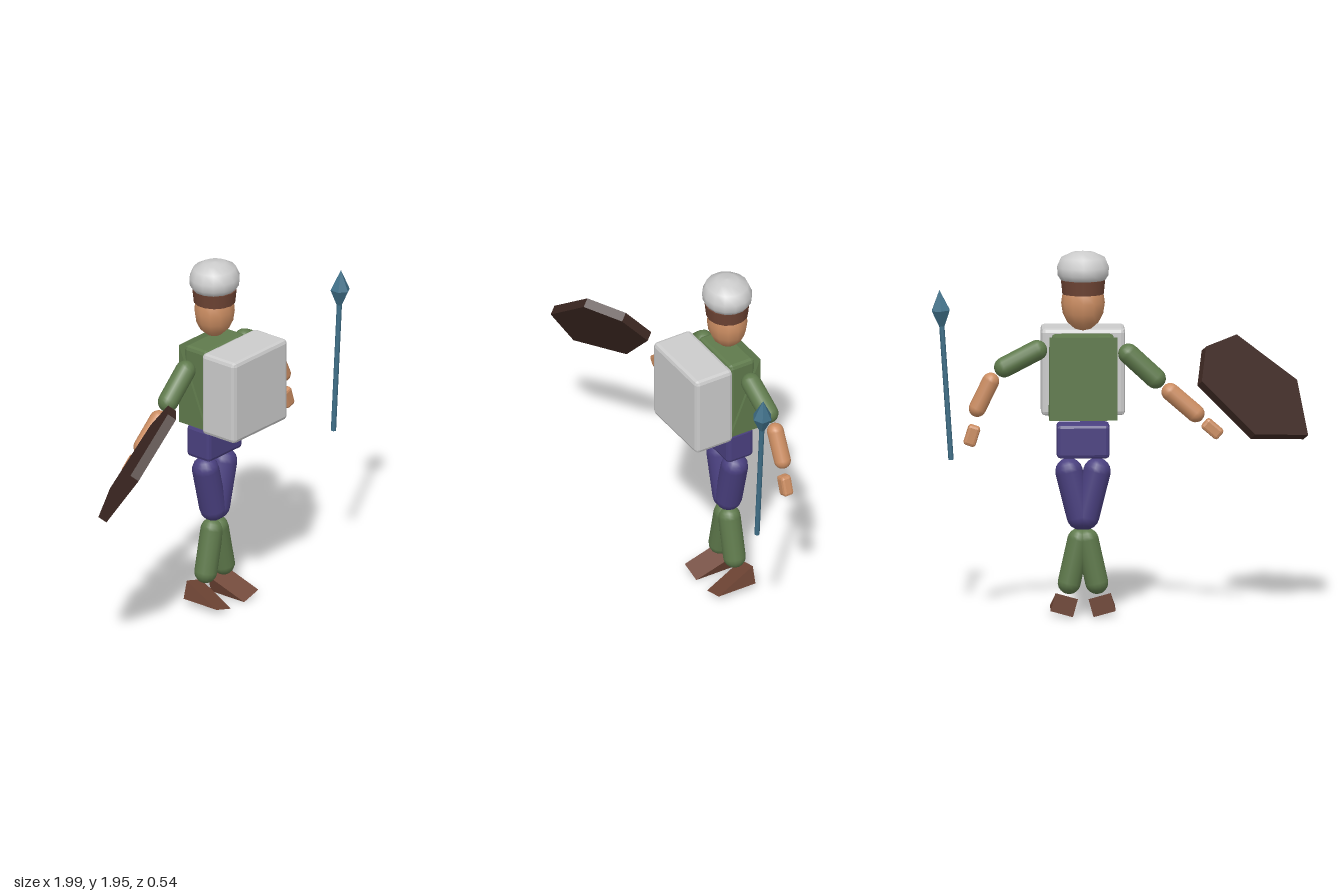
import * as THREE from 'three';
import { RoundedBoxGeometry } from 'three/addons/geometries/RoundedBoxGeometry.js';
import { ConvexGeometry } from 'three/addons/geometries/ConvexGeometry.js';

const CX = 0.196, CZ = -0.15; // body axis
const mat = (color, flatShading = false) => new THREE.MeshStandardMaterial({ color, flatShading });
const GREEN = 0x5f7a4c, PURPLE = 0x4a4080, SKIN = 0xcb8d62, BROWN = 0x6e4434;
const V = (x, y, z = CZ) => new THREE.Vector3(x, y, z);

export function createModel() {
  const model = new THREE.Group();
  model.name = 'warrior';

  const add = (name, geometry, material, x = 0, y = 0, z = 0) => {
    const mesh = new THREE.Mesh(geometry, material);
    mesh.name = name;
    mesh.position.set(x, y, z);
    model.add(mesh);
    return mesh;
  };
  // Box with chamfered edges
  const block = (name, color, w, h, d, bevel, x, y, z = CZ) =>
    add(name, new RoundedBoxGeometry(w, h, d, 1, bevel), mat(color, true), x, y, z);
  // Rounded limb between two joint centres
  const limb = (name, color, r, a, b) => {
    const dir = b.clone().sub(a);
    const mesh = add(name, new THREE.CapsuleGeometry(r, dir.length(), 5, 14), mat(color));
    mesh.position.copy(a).lerp(b, 0.5);
    mesh.quaternion.setFromUnitVectors(V(0, 1, 0), dir.normalize());
    return mesh;
  };
  // Triangular prism: tall at the back, tapering to an edge at the front
  const wedge = (name, color, w, h, d, x, y, z) => {
    const side = new THREE.Shape([
      new THREE.Vector2(-d / 2, -h / 2), new THREE.Vector2(d / 2, -h / 2), new THREE.Vector2(-d / 2, h / 2),
    ]);
    const geo = new THREE.ExtrudeGeometry(side, { depth: w, bevelEnabled: false });
    geo.translate(0, 0, -w / 2).rotateY(-Math.PI / 2);
    return add(name, geo, mat(color, true), x, y, z);
  };

  // Torso
  block('breastplate', 0xcccccc, 0.445, 0.465, 0.23, 0.022, CX - 0.003, 1.292, 0.06);
  block('torso', GREEN, 0.33, 0.44, 0.16, 0.022, CX, 1.284, -0.147);
  wedge('backWedge', GREEN, 0.36, 0.445, 0.185, CX, 1.283, -0.153);
  block('pelvis', PURPLE, 0.28, 0.182, 0.16, 0.02, CX, 0.945, -0.15);

  // Head, hair and cap
  add('head', new THREE.SphereGeometry(1, 12, 8), mat(SKIN), CX, 1.68, CZ).scale.set(0.116, 0.15, 0.105);
  add('hair', new THREE.CylinderGeometry(0.12, 0.112, 0.075, 14), mat(BROWN), CX, 1.765, CZ);
  const capProfile = [[0, 1.8], [0.118, 1.8], [0.138, 1.83], [0.14, 1.87], [0.118, 1.92], [0.062, 1.948], [0, 1.956]];
  const cap = add('cap', new THREE.LatheGeometry(capProfile.map(([r, y]) => new THREE.Vector2(r, y)), 14),
    mat(0xcccccc), CX, 0, CZ);
  cap.scale.z = 0.94;

  // Arms and hands
  limb('leftUpperArm', GREEN, 0.055, V(0.44, 1.425), V(0.612, 1.335));
  limb('leftForearm', SKIN, 0.046, V(0.685, 1.26), V(0.755, 1.115));
  limb('rightUpperArm', GREEN, 0.055, V(-0.045, 1.405), V(-0.188, 1.273));
  limb('rightForearm', SKIN, 0.048, V(-0.267, 1.2), V(-0.4, 1.085));
  block('leftHand', SKIN, 0.066, 0.112, 0.06, 0.015, 0.784, 0.97).rotation.z = 0.31;
  block('rightHand', SKIN, 0.066, 0.112, 0.06, 0.015, -0.489, 1.003).rotation.z = -0.86;

  // Legs and feet
  for (const [side, s] of [['left', 1], ['right', -1]]) {
    limb(side + 'Thigh', PURPLE, 0.073, V(CX + s * 0.074, 0.777), V(CX + s * 0.014, 0.537));
    limb(side + 'Shin', GREEN, 0.061, V(CX + s * 0.022, 0.412), V(CX + s * 0.073, 0.182));
    wedge(side + 'Foot', BROWN, 0.122, 0.1, 0.228, CX + s * 0.1, 0.071, -0.106).rotation.z = s * 0.27;
  }

  // Spear leaning slightly outward
  const spear = new THREE.Group();
  spear.name = 'spear';
  const shaft = new THREE.Mesh(new THREE.CylinderGeometry(0.014, 0.014, 0.74, 8), mat(0x3f6f88));
  shaft.name = 'spearShaft';
  shaft.position.y = 0.37;
  const headProfile = [[0, 0.715], [0.016, 0.715], [0.054, 0.8], [0, 0.91]].map(([r, y]) => new THREE.Vector2(r, y));
  const tip = new THREE.Mesh(new THREE.LatheGeometry(headProfile, 6), mat(0x3f6f88, true));
  tip.name = 'spearHead';
  spear.add(shaft, tip);
  spear.position.set(0.89, 0.807, 0.09);
  spear.rotation.z = -0.068;
  model.add(spear);

  // Six-sided shield: outline on a tilted plane, thickened along its normal
  const outline = [[-1, 0.94], [-0.945, 1.21], [-0.625, 1.455], [-0.46, 1.41], [-0.435, 1.245], [-0.717, 0.965]];
  const normal = new THREE.Vector3(-0.44, 0.55, -0.71);
  const back = outline.map(([x, y]) => V(x, y, (0.44 * x - 0.55 * y + 0.923) / -0.71));
  const front = back.map((p) => p.clone().addScaledVector(normal, -0.052));
  add('shield', new ConvexGeometry([...back, ...front]), mat(0x3d2822, true));

  return model;
}
